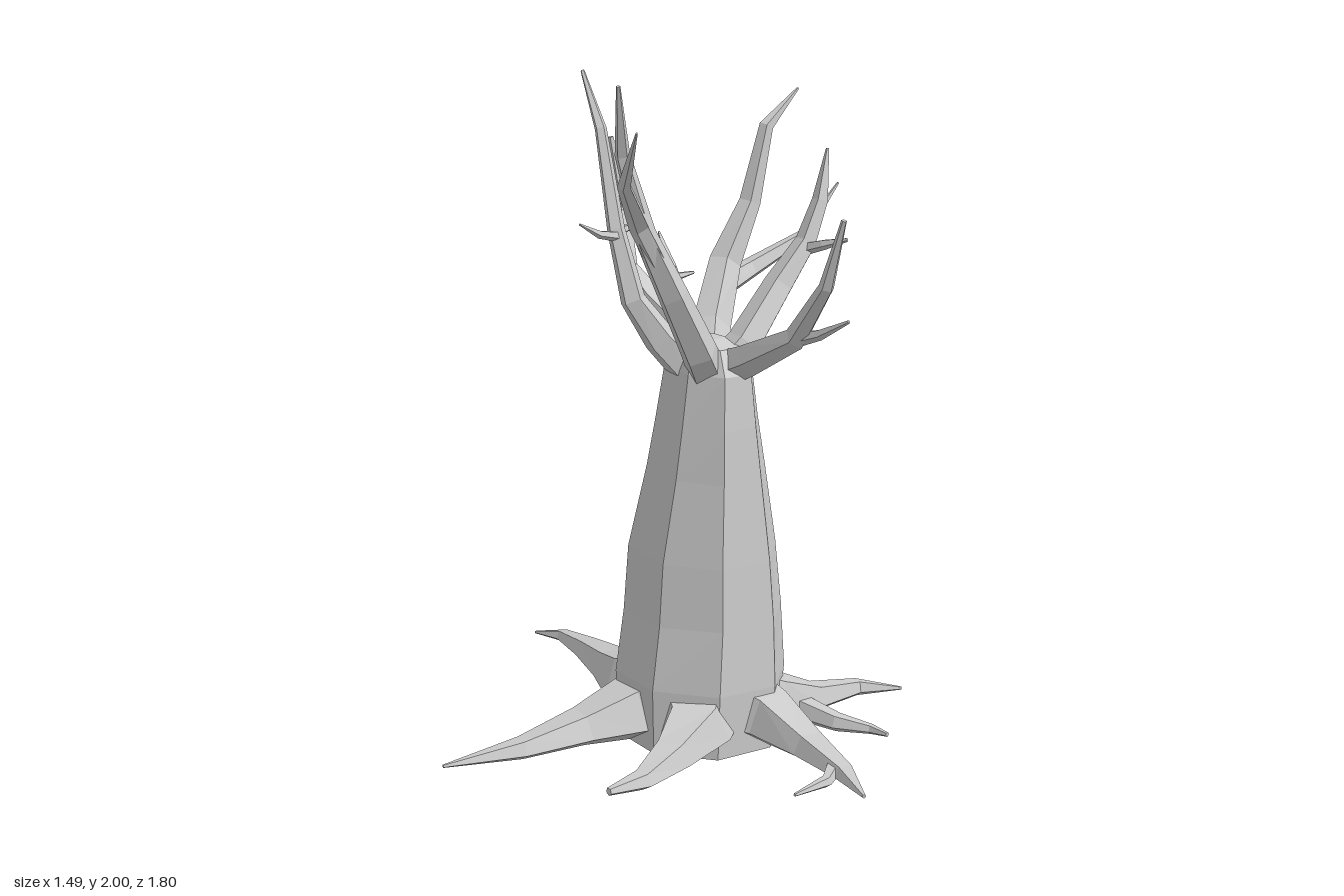
import * as THREE from 'three';

const material = new THREE.MeshStandardMaterial({ color: 0xcccccc, flatShading: true });
const UP = new THREE.Vector3(0, 1, 0);

// Skins a faceted limb along sections [x, y, z, half width, half height].
function limb(name, sections, sides, turn = Math.PI / 2) {
  const pts = sections.map(s => new THREE.Vector3(s[0], s[1], s[2]));
  const last = pts.length - 1;
  const ref = pts[last].clone().sub(pts[0]).cross(UP);
  if (ref.length() < 0.1) ref.set(1, 0, 0);
  const pos = [], idx = [];
  pts.forEach((p, i) => {
    const t = pts[Math.min(i + 1, last)].clone().sub(pts[Math.max(i - 1, 0)]).normalize();
    const u = ref.clone().addScaledVector(t, -ref.dot(t)).normalize();
    const v = t.clone().cross(u);
    const w = sections[i][3], h = sections[i][4] ?? w;
    for (let k = 0; k < sides; k++) {
      const a = turn + k / sides * Math.PI * 2;
      const q = p.clone().addScaledVector(u, Math.cos(a) * w).addScaledVector(v, Math.sin(a) * h);
      pos.push(q.x, Math.max(q.y, 0), q.z);
    }
  });
  const n = pts.length * sides;
  pos.push(...pts[0].toArray(), ...pts[last].toArray());
  for (let k = 0; k < sides; k++) {
    const m = (k + 1) % sides;
    for (let i = 0; i < last; i++) {
      const a = i * sides, b = a + sides;
      idx.push(a + k, a + m, b + m, a + k, b + m, b + k);
    }
    idx.push(n, m, k, n + 1, last * sides + k, last * sides + m);
  }
  const geo = new THREE.BufferGeometry();
  geo.setAttribute('position', new THREE.Float32BufferAttribute(pos, 3));
  geo.setIndex(idx);
  const flat = geo.toNonIndexed();
  flat.computeVertexNormals();
  const mesh = new THREE.Mesh(flat, material);
  mesh.name = name;
  return mesh;
}

const BRANCHES = {
  leftFrontBranch: [[0.06, 1.12, 0.2, 0.06], [-0.02, 1.22, 0.26, 0.055], [-0.13, 1.4, 0.29, 0.045], [-0.23, 1.58, 0.3, 0.034], [-0.3, 1.8, 0.3, 0.022], [-0.35, 1.99, 0.36, 0.006]],
  leftFrontFork: [[-0.16, 1.46, 0.29, 0.03], [-0.26, 1.61, 0.32, 0.03], [-0.39, 1.74, 0.45, 0.019], [-0.44, 1.89, 0.59, 0.003]],
  leftBackBranch: [[0.05, 1.12, 0.15, 0.06], [-0.06, 1.24, 0.12, 0.05], [-0.14, 1.36, 0.1, 0.038], [-0.165, 1.56, 0.05, 0.027], [-0.165, 1.84, -0.03, 0.018], [-0.17, 2.0, -0.12, 0.006]],
  leftBackTwig: [[-0.17, 1.55, 0.05, 0.018], [-0.1, 1.555, 0.01, 0.011], [0.02, 1.56, -0.06, 0.005]],
  leftOuterTwig: [[-0.16, 1.54, 0.06, 0.016], [-0.24, 1.555, 0.08, 0.012], [-0.31, 1.59, 0.09, 0.003]],
  backBranch: [[0.08, 1.14, 0.13, 0.07], [0.08, 1.23, 0.0, 0.06], [0.08, 1.29, -0.14, 0.05], [0.08, 1.38, -0.28, 0.037], [0.1, 1.57, -0.34, 0.026], [0.06, 1.78, -0.34, 0.01]],
  backFork: [[0.09, 1.25, -0.08, 0.05], [0.17, 1.3, -0.21, 0.042], [0.27, 1.35, -0.32, 0.027], [0.33, 1.45, -0.48, 0.004]],
  backTwig: [[0.23, 1.33, -0.28, 0.02], [0.29, 1.33, -0.32, 0.014], [0.35, 1.34, -0.31, 0.005]],
  frontBranch: [[0.1, 1.15, 0.2, 0.06], [0.11, 1.2, 0.33, 0.05], [0.13, 1.29, 0.52, 0.035], [0.13, 1.45, 0.65, 0.022], [0.13, 1.64, 0.72, 0.008]],
  frontTwig: [[0.13, 1.28, 0.5, 0.024], [0.15, 1.31, 0.6, 0.016], [0.17, 1.36, 0.7, 0.005]],
  rightBackBranch: [[0.1, 1.12, 0.12, 0.07], [0.2, 1.23, 0.0, 0.062], [0.32, 1.4, -0.1, 0.052], [0.42, 1.58, -0.11, 0.035], [0.48, 1.81, -0.11, 0.023], [0.6, 1.92, -0.11, 0.004]],
  rightBackFork: [[0.27, 1.33, -0.07, 0.045], [0.43, 1.37, -0.12, 0.034], [0.62, 1.46, -0.1, 0.02], [0.75, 1.62, -0.09, 0.004]],
  rightFrontBranch: [[0.09, 1.13, 0.2, 0.065], [0.17, 1.22, 0.22, 0.055], [0.3, 1.38, 0.21, 0.046], [0.39, 1.5, 0.22, 0.034], [0.44, 1.62, 0.22, 0.026], [0.47, 1.77, 0.21, 0.005]],
  rightFrontTwig: [[0.38, 1.48, 0.22, 0.02], [0.4, 1.5, 0.29, 0.016], [0.43, 1.52, 0.36, 0.006]],
};

const ROOTS = {
  leftRoot: [[0, 0.12, 0.1, 0.17, 0.12], [-0.13, 0.1, 0.07, 0.12, 0.1], [-0.3, 0.075, 0.06, 0.075, 0.06], [-0.5, 0.05, 0.05, 0.042, 0.035], [-0.74, 0.035, 0.01, 0.005]],
  leftFrontRoot: [[0.02, 0.12, 0.18, 0.16, 0.12], [-0.06, 0.1, 0.31, 0.11, 0.09], [-0.2, 0.075, 0.39, 0.065, 0.055], [-0.34, 0.06, 0.455, 0.036, 0.03], [-0.46, 0.06, 0.47, 0.012]],
  frontRoot: [[0.14, 0.12, 0.2, 0.14, 0.12], [0.18, 0.1, 0.36, 0.09, 0.09], [0.18, 0.075, 0.55, 0.058, 0.05], [0.16, 0.065, 0.74, 0.034, 0.028], [0.1, 0.07, 0.9, 0.006]],
  frontRootFork: [[0.16, 0.065, 0.69, 0.026], [0.09, 0.06, 0.745, 0.018], [-0.04, 0.06, 0.77, 0.005]],
  rightFrontRoot: [[0.17, 0.12, 0.16, 0.15, 0.12], [0.3, 0.09, 0.22, 0.09, 0.09], [0.44, 0.07, 0.235, 0.052, 0.05], [0.62, 0.06, 0.225, 0.03, 0.028], [0.73, 0.06, 0.31, 0.005]],
  rightFrontRootFork: [[0.36, 0.06, 0.25, 0.045], [0.4, 0.05, 0.4, 0.03], [0.46, 0.045, 0.49, 0.016], [0.465, 0.05, 0.56, 0.007]],
  rightBackRoot: [[0.17, 0.12, 0.05, 0.17, 0.12], [0.27, 0.1, -0.06, 0.13, 0.1], [0.4, 0.065, -0.17, 0.08, 0.06], [0.53, 0.04, -0.25, 0.042, 0.035], [0.68, 0.025, -0.34, 0.005]],
  backRoot: [[0.06, 0.12, 0.03, 0.17, 0.12], [0.01, 0.1, -0.13, 0.12, 0.1], [0.05, 0.075, -0.32, 0.075, 0.065], [0.1, 0.05, -0.56, 0.05, 0.04], [0.125, 0.03, -0.77, 0.027, 0.022], [0.09, 0.01, -0.9, 0.005]],
  backRootFork: [[0.08, 0.06, -0.4, 0.04], [0.2, 0.06, -0.43, 0.034], [0.31, 0.06, -0.49, 0.023], [0.36, 0.065, -0.63, 0.004]],
};

const TRUNK = [[0.09, 0, 0.11, 0.25, 0.26], [0.095, 0.2, 0.11, 0.262, 0.268], [0.1, 0.4, 0.113, 0.24, 0.257],
  [0.095, 0.6, 0.115, 0.22, 0.248], [0.09, 0.85, 0.14, 0.172, 0.205], [0.085, 1.0, 0.15, 0.145, 0.185],
  [0.085, 1.15, 0.155, 0.122, 0.165], [0.085, 1.22, 0.155, 0.1, 0.125], [0.085, 1.24, 0.155, 0.04, 0.05]];

export function createModel() {
  const model = new THREE.Group();
  model.name = 'bareTree';
  model.add(limb('trunk', TRUNK, 8, Math.PI / 8));
  const crown = new THREE.Group();
  crown.name = 'branches';
  for (const [name, path] of Object.entries(BRANCHES)) crown.add(limb(name, path, 5));
  const base = new THREE.Group();
  base.name = 'roots';
  for (const [name, path] of Object.entries(ROOTS)) base.add(limb(name, path, 5));
  model.add(crown, base);
  return model;
}
